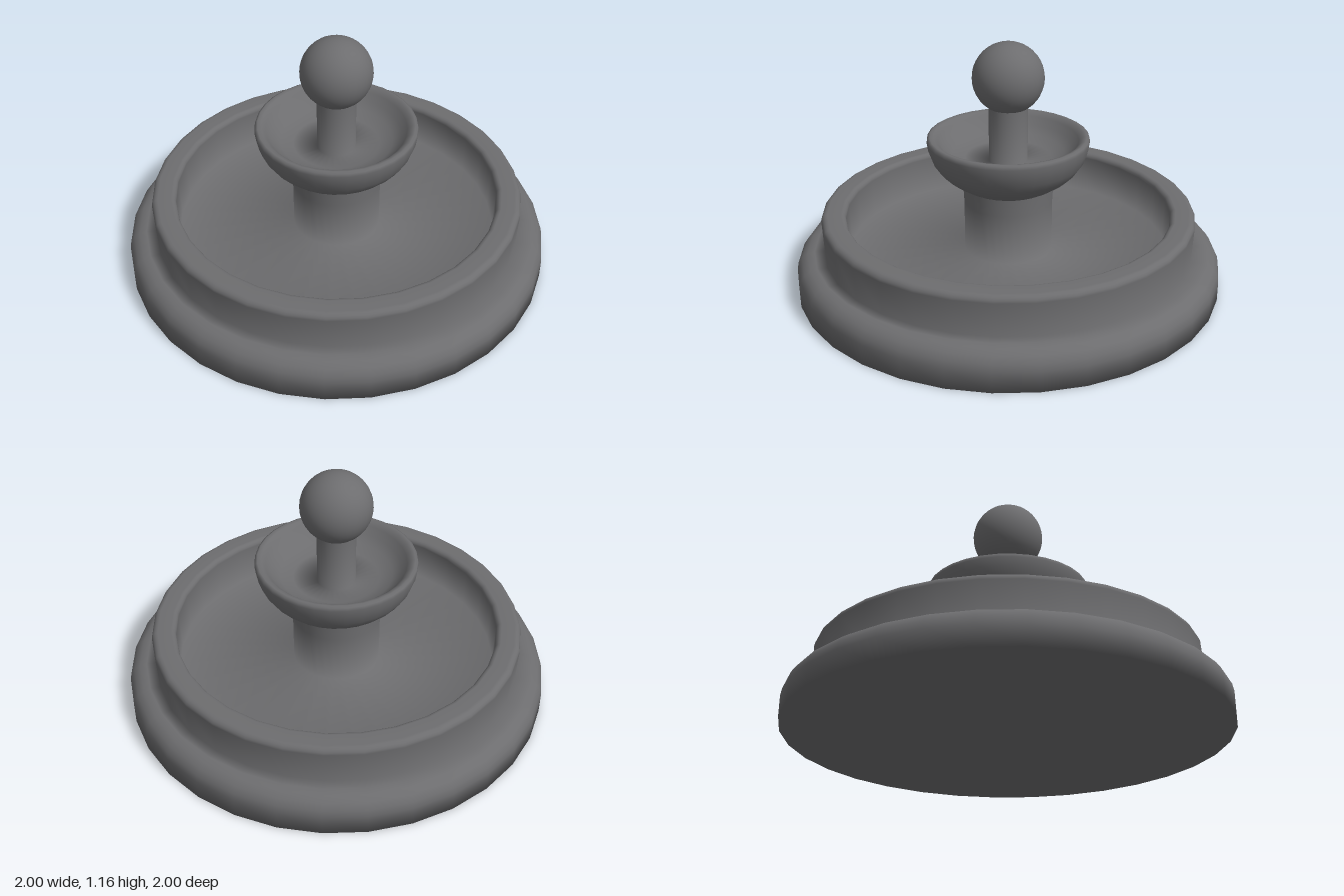
import * as THREE from 'three';

const SIDES = 32;
const material = new THREE.MeshStandardMaterial({ color: 0x6d6d6f });

// Turns a [radius, height] profile, listed from the bottom outside to the top,
// with smooth normals running along the whole profile
function turned(name, profile) {
  const points = profile.map(([r, y]) => new THREE.Vector2(r, y));
  const mesh = new THREE.Mesh(new THREE.LatheGeometry(points, SIDES), material);
  mesh.name = name;
  return mesh;
}

// Points of a rounded edge about the centre (r, y), between two angles
function round(r, y, radius, from, to, steps = 4) {
  return Array.from({ length: steps + 1 }, (_, i) => {
    const a = THREE.MathUtils.degToRad(from + ((to - from) * i) / steps);
    return [r + radius * Math.cos(a), y + radius * Math.sin(a)];
  });
}

export function createModel() {
  const fountain = new THREE.Group();
  fountain.name = 'fountain';

  // Plinth, pool wall, pool floor and pillar flow into one another
  fountain.add(turned('basinAndPillar', [
    [0, 0], [1, 0],
    ...round(0.915, 0.095, 0.085, 0, 90),
    [0.868, 0.18],
    ...round(0.845, 0.337, 0.03, 0, 90),
    ...round(0.785, 0.342, 0.025, 90, 180),
    [0.755, 0.16], [0.207, 0.16],
    [0.207, 0.4], [0.212, 0.49],
  ]));

  // Upper bowl: outside, rim, inside, then the stem rising from it
  fountain.add(turned('upperBowlAndStem', [
    [0, 0.475], [0.205, 0.48], [0.24, 0.5], [0.29, 0.535], [0.325, 0.57],
    [0.352, 0.61], [0.37, 0.66], [0.376, 0.7], [0.373, 0.716], [0.362, 0.722],
    [0.345, 0.718], [0.325, 0.7], [0.3, 0.665], [0.26, 0.635],
    [0.2, 0.613], [0.09, 0.6], [0.09, 0.88],
  ]));

  // Ball finial
  const ball = new THREE.Mesh(new THREE.SphereGeometry(0.165, 32, 20), material);
  ball.name = 'ball';
  ball.position.y = 0.997;
  fountain.add(ball);

  return fountain;
}
